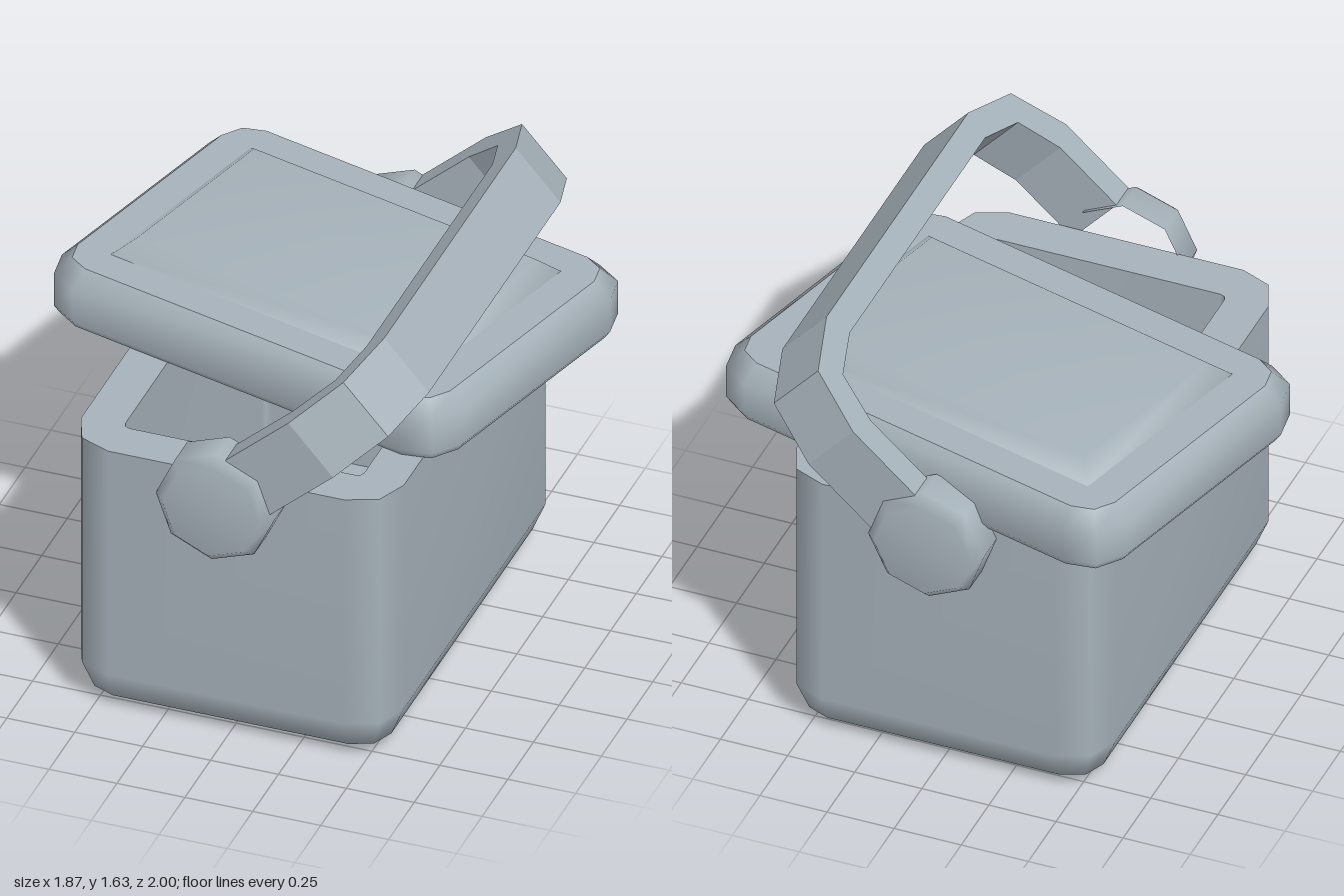
import * as THREE from 'three';
import { mergeGeometries } from 'three/addons/utils/BufferGeometryUtils.js';

// Outline of a rounded rectangle; segs = facets per corner (0 = sharp)
function ring([hx, hz, r, y], segs) {
  const pts = [];
  [[1, 1], [-1, 1], [-1, -1], [1, -1]].forEach(([sx, sz], corner) => {
    for (let i = 0; i <= segs; i++) {
      const a = (corner + (segs ? i / segs : 0.5)) * Math.PI / 2;
      const k = segs ? r : 0;
      pts.push(sx * (hx - k) + k * Math.cos(a), y, sz * (hz - k) + k * Math.sin(a));
    }
  });
  return pts;
}

// Smooth skin through rings [halfX, halfZ, cornerRadius, y], optionally capped
function loft(rings, { segs = 2, capStart = false, capEnd = false } = {}) {
  const n = 4 * (segs + 1), pos = [], idx = [];
  rings.forEach((r) => pos.push(...ring(r, segs)));
  for (let j = 0; j < rings.length - 1; j++) {
    for (let i = 0; i < n; i++) {
      const a = j * n + i, b = j * n + (i + 1) % n;
      idx.push(a, a + n, b, b, a + n, b + n);
    }
  }
  const cap = (row, flip) => {
    const c = pos.length / 3;
    pos.push(0, rings[row][3], 0);
    for (let i = 0; i < n; i++) {
      const a = row * n + i, b = row * n + (i + 1) % n;
      idx.push(c, flip ? a : b, flip ? b : a);
    }
  };
  if (capStart) cap(0, true);
  if (capEnd) cap(rings.length - 1, false);
  const g = new THREE.BufferGeometry();
  g.setAttribute('position', new THREE.Float32BufferAttribute(pos, 3));
  g.setIndex(idx);
  g.computeVertexNormals();
  return g;
}

export function createModel() {
  const model = new THREE.Group();
  const grey = new THREE.MeshStandardMaterial({ color: 0xa6b2ba });
  grey.name = 'blue grey';
  const add = (name, geometry, parent = model) => {
    const mesh = new THREE.Mesh(geometry, grey);
    mesh.name = name;
    parent.add(mesh);
    return mesh;
  };

  // Hollow box: outer shell, flat rim, inner walls, floor
  const top = 1.08, floor = 0.16;
  const outer = [0.595, 0.85, 0.16, top], inner = [0.44, 0.69, 0.025, top];
  const low = [0.44, 0.69, 0.025, floor];
  add('body', mergeGeometries([
    loft([[0.44, 0.69, 0.02, 0], [0.548, 0.803, 0.115, 0.047], [0.595, 0.85, 0.16, 0.16], outer], { capStart: true }),
    loft([outer, inner]),
    loft([inner, low]),
    loft([low], { capEnd: true }),
  ]));

  // Lid lying askew across the box
  const lid = new THREE.Group();
  lid.name = 'lid';
  lid.position.z = -0.222;
  lid.rotation.y = -Math.PI / 12;
  model.add(lid);
  const lidTop = [0.79, 0.535, 0.11, 1.3];
  add('lidSlab', mergeGeometries([
    loft([[0.83, 0.575, 0.14, top]], { capStart: true }),
    loft([[0.83, 0.575, 0.14, top], [0.85, 0.595, 0.16, 1.11], [0.85, 0.595, 0.16, 1.24], lidTop]),
    loft([lidTop], { capEnd: true }),
  ]), lid);
  add('lidPanel', loft([[0.66, 0.41, 0, 1.3], [0.595, 0.345, 0, 1.36]], { segs: 0, capEnd: true }), lid);

  // Octagonal pivots on both ends
  const pivotY = 1.018;
  const profile = [[0.217, -0.01], [0.217, 0.11], [0.18, 0.15], [0, 0.15]].map(([r, y]) => new THREE.Vector2(r, y));
  for (const s of [1, -1]) {
    const pivot = add(s > 0 ? 'frontPivot' : 'backPivot', new THREE.LatheGeometry(profile, 8).rotateY(-0.05 * s));
    pivot.rotation.x = s * Math.PI / 2;
    pivot.position.set(0, pivotY, s * 0.85);
  }

  // Faceted carrying handle, swung over to the side
  const outside = [[0.963, 0.164], [0.963, 0.475], [0.87, 0.7], [0.64, 0.785]];
  const inside = [[0.61, 0.685], [0.79, 0.62], [0.855, 0.445], [0.855, 0.164]];
  const mirror = (pts) => pts.map(([x, y]) => [-x, y]).reverse();
  const outline = [...outside, ...mirror(outside), ...mirror(inside), ...inside];
  const width = 0.248, tilt = 0.728;
  const handle = add('handle', new THREE.ExtrudeGeometry(
    new THREE.Shape(outline.map(([x, y]) => new THREE.Vector2(x, y))),
    { depth: width, bevelEnabled: false },
  ).translate(0, 0, -width / 2));
  handle.geometry.applyMatrix4(new THREE.Matrix4().makeBasis(
    new THREE.Vector3(0, 0, 1),
    new THREE.Vector3(Math.cos(tilt), Math.sin(tilt), 0),
    new THREE.Vector3(-Math.sin(tilt), Math.cos(tilt), 0),
  ));
  handle.position.y = pivotY;

  return model;
}
